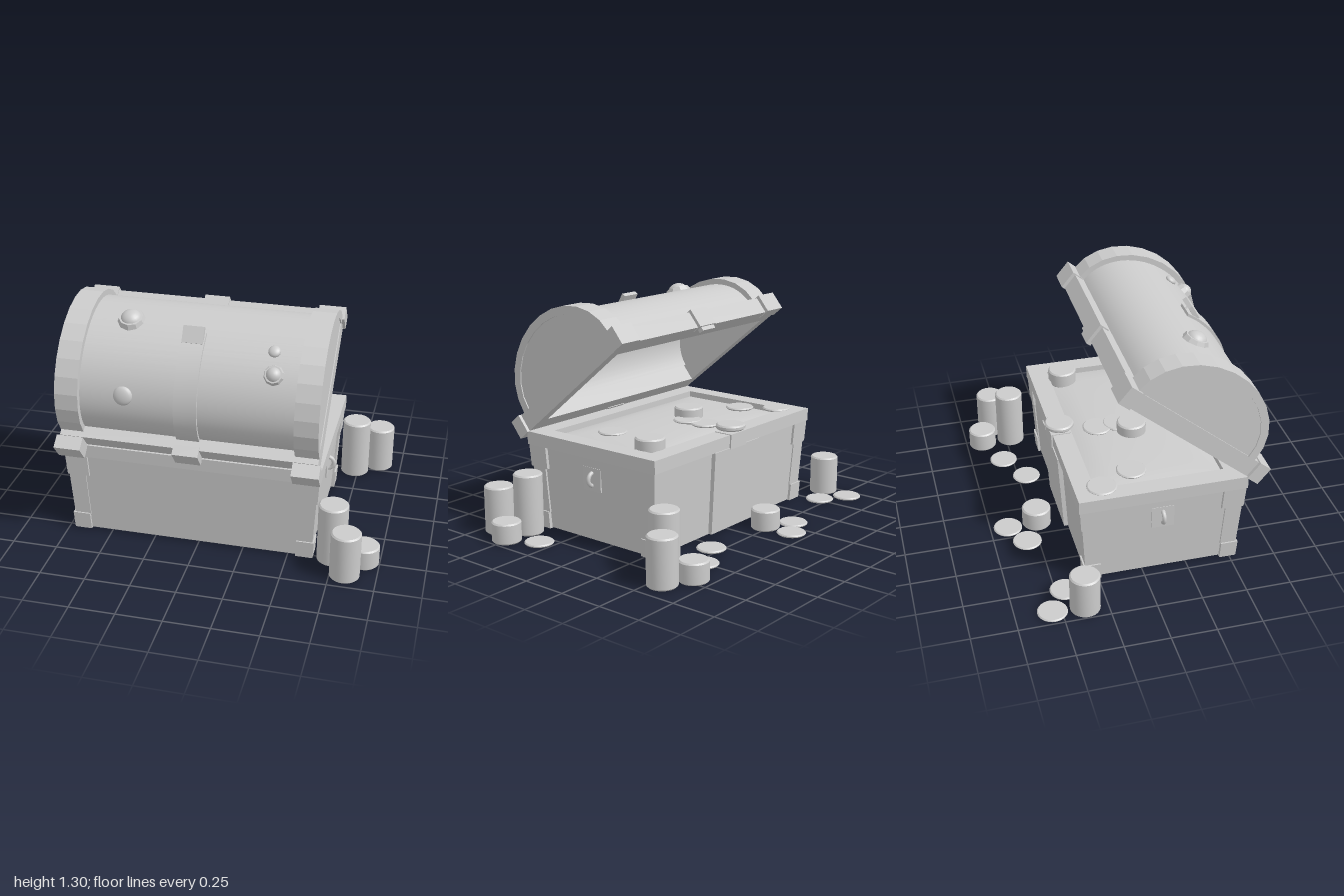
import * as THREE from 'three';
import { toCreasedNormals } from 'three/addons/utils/BufferGeometryUtils.js';

const mat = new THREE.MeshStandardMaterial({ color: 0xcccccc });
const flat = new THREE.MeshStandardMaterial({ color: 0xcccccc, flatShading: true });

function add(parent, name, geo, x = 0, y = 0, z = 0, m = mat) {
  const mesh = new THREE.Mesh(geo, m);
  mesh.name = name;
  mesh.position.set(x, y, z);
  parent.add(mesh);
  return mesh;
}

// Box given by its min and max corners
function box(x0, x1, y0, y1, z0, z1) {
  return new THREE.BoxGeometry(x1 - x0, y1 - y0, z1 - z0)
    .translate((x0 + x1) / 2, (y0 + y1) / 2, (z0 + z1) / 2);
}

// Narrows a geometry towards the ground
function taper(geo) {
  const p = geo.attributes.position;
  for (let i = 0; i < p.count; i++) {
    const t = (0.49 - p.getY(i)) / 0.48;
    p.setX(i, p.getX(i) * (1 - 0.04 * t));
    p.setZ(i, p.getZ(i) * (1 - 0.065 * t));
  }
  geo.computeVertexNormals();
  return geo;
}

// Rectangular ring lying flat, with its underside on y = 0
function frame(w, d, iw, id, h) {
  const rect = (C, a, b) => new C([[-a, -b], [a, -b], [a, b], [-a, b]].map(p => new THREE.Vector2(...p)));
  const s = rect(THREE.Shape, w, d);
  s.holes.push(rect(THREE.Path, iw, id));
  return new THREE.ExtrudeGeometry(s, { depth: h, bevelEnabled: false }).rotateX(-Math.PI / 2);
}

// Elliptical arch swept along x; angle 0 is the hinge side, pi the opening side
function arch(x0, x1, a, b, thick, t0, t1, n) {
  const pts = [];
  const put = (t, k) => pts.push(new THREE.Vector2(-(a - k) * Math.cos(t), (b - k) * Math.sin(t)));
  for (let i = 0; i <= n; i++) put(t0 + (t1 - t0) * i / n, 0);
  if (thick) for (let i = n; i >= 0; i--) put(t0 + (t1 - t0) * i / n, thick);
  return new THREE.ExtrudeGeometry(new THREE.Shape(pts), { depth: x1 - x0, bevelEnabled: false })
    .rotateY(Math.PI / 2).translate(x0, 0, 0);
}

// Round coin or stack with softened edges
function coin(h, r = 0.082) {
  const e = Math.min(0.008, h * 0.4);
  const pts = [[0, 0], [r - e, 0], [r, e], [r, h - e], [r - e, h], [0, h]];
  return toCreasedNormals(new THREE.LatheGeometry(pts.map(p => new THREE.Vector2(...p)), 28), 0.6);
}

function buildBase(chest) {
  add(chest, 'body', taper(box(-0.685, 0.685, 0.01, 0.5, -0.445, 0.445)));
  add(chest, 'rim', frame(0.708, 0.464, 0.605, 0.355, 0.073), 0, 0.487, 0);

  // Corner posts: cap, shaft and foot
  for (const sx of [-1, 1]) for (const sz of [-1, 1]) {
    const post = new THREE.Group();
    post.name = 'cornerPost';
    for (const [y0, y1, w, o] of [[0.36, 0.488, 0.125, 0.003], [0.1, 0.36, 0.095, -0.004], [0.006, 0.105, 0.1, 0.005]]) {
      const x = 0.7 + o, z = 0.456 + o;
      add(post, 'postPart', taper(box(
        Math.min(sx * x, sx * (x - w)), Math.max(sx * x, sx * (x - w)), y0, y1,
        Math.min(sz * z, sz * (z - w)), Math.max(sz * z, sz * (z - w)))));
    }
    chest.add(post);
  }

  // Panel and lock plate on the opening side
  add(chest, 'lockPanel', taper(box(-0.205, 0.205, 0.012, 0.488, -0.47, -0.4)));
  add(chest, 'lockPlate', box(-0.07, 0.07, 0.48, 0.564, -0.474, -0.36));

  // Ring handles on both ends
  for (const s of [-1, 1]) {
    const handle = new THREE.Group();
    handle.name = 'handle';
    add(handle, 'handlePlate', new THREE.BoxGeometry(0.02, 0.13, 0.125), s * 0.674, 0.365, 0);
    add(handle, 'handleRing', new THREE.TorusGeometry(0.036, 0.012, 8, 20), s * 0.677, 0.365, 0);
    chest.add(handle);
  }

  // Heaped treasure filling the chest
  const heap = new THREE.PlaneGeometry(1.22, 0.72, 20, 12).rotateX(-Math.PI / 2);
  const p = heap.attributes.position;
  for (let i = 0; i < p.count; i++) {
    const d = (1 - (p.getX(i) / 0.61) ** 2) * (1 - (p.getZ(i) / 0.36) ** 2);
    p.setY(i, 0.525 + 0.035 * Math.sqrt(Math.max(d, 0)));
  }
  heap.computeVertexNormals();
  add(chest, 'treasureHeap', heap);
}

function buildLid(chest) {
  const lid = new THREE.Group();
  lid.name = 'lid';
  lid.position.set(0, 0.553, 0.462);
  lid.rotation.x = THREE.MathUtils.degToRad(39.5);
  chest.add(lid);
  const D = 0.462, H = 0.1, A = 0.385, B = 0.312;

  add(lid, 'lidFrame', frame(0.7, 0.45, 0.64, 0.34, H), 0, 0.002, -D);
  add(lid, 'lidShell', toCreasedNormals(arch(-0.69, 0.69, A, B, 0.03, 0, Math.PI, 32), 0.5), 0, H, -D);
  for (const s of [-1, 1]) {
    add(lid, 'lidEnd', arch(s * 0.685 - 0.01, s * 0.685 + 0.01, 0.38, 0.307, 0, 0, Math.PI, 24), 0, H, -D);
    add(lid, 'lidBand', arch(s * 0.638 - 0.064, s * 0.638 + 0.064, 0.418, 0.346, 0.045, 0, Math.PI, 13), 0, H, -D, flat);
    for (const z of [0.03, -0.894])
      add(lid, 'lidCorner', new THREE.BoxGeometry(0.146, 0.11, 0.076), s * 0.642, 0.053, z);
  }

  // Centre strap with a raised end, and its plates on the frame
  const t = 1.78;
  add(lid, 'lidStrap', toCreasedNormals(arch(-0.062, 0.062, A + 0.015, B + 0.015, 0.02, 0, t, 16), 0.5), 0, H, -D);
  const tip = add(lid, 'strapTip', new THREE.BoxGeometry(0.112, 0.025, 0.09),
    0, H + 0.345 * Math.sin(t), -D + A * Math.cos(t) + 0.025);
  tip.rotation.x = 0.35;
  for (const z of [-0.02, -0.9])
    add(lid, 'strapPlate', new THREE.BoxGeometry(0.14, 0.112, 0.06), 0, 0.054, z < -0.5 ? z : z + 0.02);
  add(lid, 'clasp', new THREE.BoxGeometry(0.11, 0.05, 0.03), 0, 0.0, -0.905);

  // Gems set in the shell: x, arch angle, radius, rise, ring
  for (const [x, ang, r, rise, ring] of [
    [-0.36, 2.25, 0.058, 0.045, true], [-0.335, 0.93, 0.052, 0.022, false],
    [0.445, 1.48, 0.042, 0.04, true], [0.43, 1.88, 0.033, 0.02, false], [0.02, 1.99, 0.022, 0.022, false]]) {
    const gem = new THREE.Group();
    gem.name = 'gem';
    // angle is measured from the hinge side in the opened pose
    const e = Math.atan2(Math.sin(ang - 0.28) * A, Math.cos(ang - 0.28) * B) + 0.02;
    gem.position.set(x, H + B * Math.sin(e), -D + A * Math.cos(e));
    gem.rotation.x = Math.atan2(Math.cos(e) * B, Math.sin(e) * A);
    add(gem, 'gemStone', new THREE.SphereGeometry(1, 20, 12).scale(r, rise, r), 0, 0.005, 0);
    if (ring) add(gem, 'gemSetting', new THREE.CylinderGeometry(r * 1.12, r * 1.38, 0.035, 10), 0, 0.004, 0, flat);
    lid.add(gem);
  }
}

export function createModel() {
  const model = new THREE.Group();
  model.name = 'treasureChest';
  const chest = new THREE.Group();
  chest.name = 'chest';
  chest.position.set(-0.037, 0, 0.104);
  model.add(chest);
  buildBase(chest);
  buildLid(chest);

  // Stacks on the ground: x, z, height
  for (const [x, z, h] of [
    [0.83, 0.645, 0.272], [0.74, 0.505, 0.348], [0.915, 0.5, 0.118],
    [0.73, -0.47, 0.348], [0.865, -0.57, 0.272], [0.715, -0.65, 0.118],
    [-0.92, -0.375, 0.23], [-0.15, -0.48, 0.118]]) add(model, 'coinStack', coin(h), x, 0, z);

  // Loose coins on the ground
  for (const [x, z] of [[-0.91, -0.55], [-0.76, -0.45], [-0.305, -0.565], [-0.16, -0.65],
    [0.31, -0.45], [0.51, -0.555], [0.83, 0.335]]) add(model, 'coin', coin(0.015), x, 0, z);

  // Coins and stacks on the treasure: x, z, base, height
  for (const [x, z, y, h] of [
    [-0.155, 0.08, 0.55, 0.07], [0.49, -0.175, 0.53, 0.09], [-0.04, -0.31, 0.575, 0.03],
    [-0.63, -0.21, 0.553, 0.015], [0.36, 0.21, 0.545, 0.015], [-0.08, -0.1, 0.553, 0.015],
    [-0.07, 0.02, 0.556, 0.015], [-0.52, -0.02, 0.55, 0.015]]) add(model, 'treasureCoin', coin(h), x, y, z);
  return model;
}
